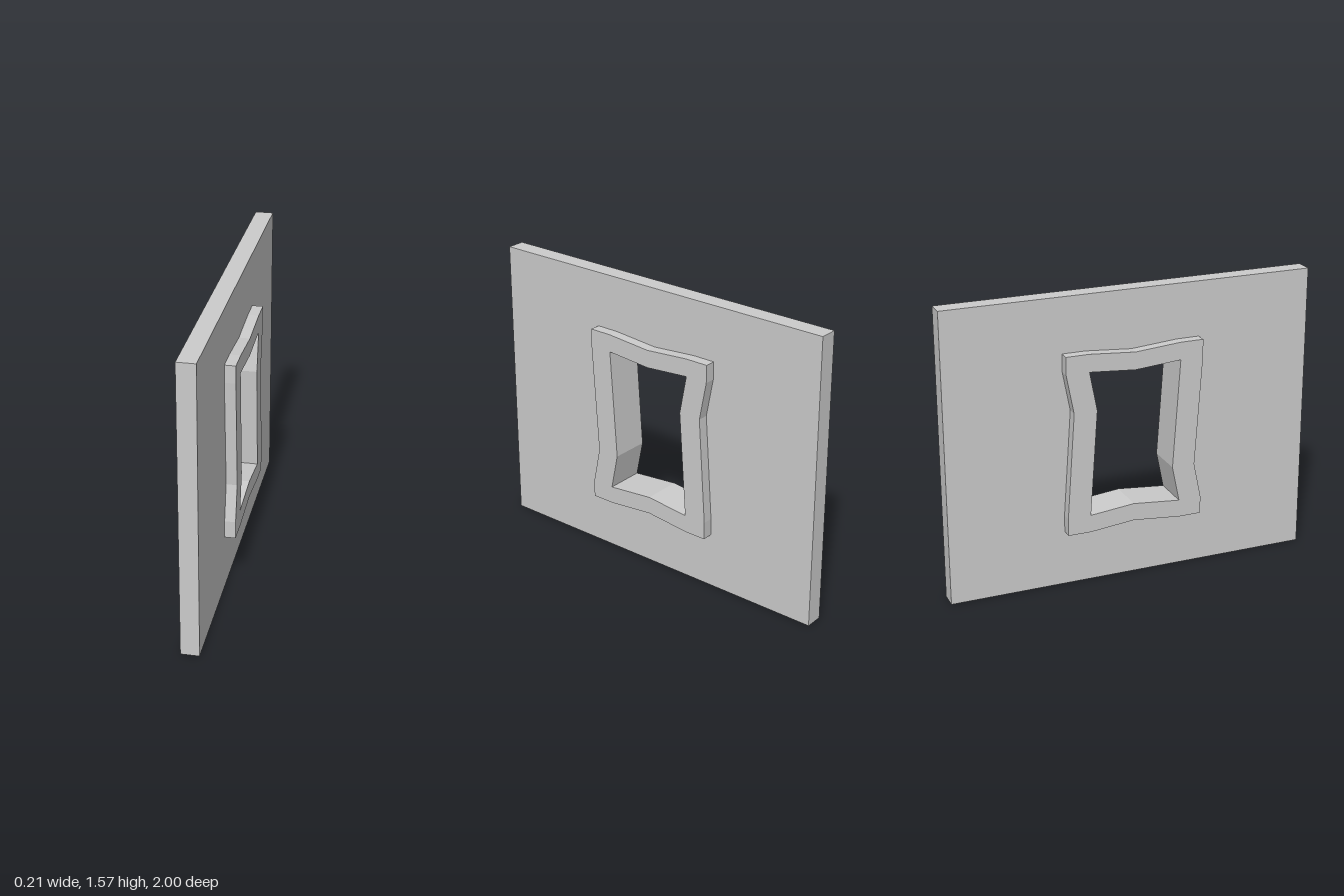
import * as THREE from 'three';

const PANEL_THICKNESS = 0.096;
const FRAME_THICKNESS = 0.21;

// Outlines as [z, y] corners
const wallOutline = [[-1, 0], [1, 0], [1, 1.57], [-1, 1.57]];
const frameOutline = [
  [0.375, 1.275], [0.25, 1.275], [0, 1.255], [-0.25, 1.275], [-0.375, 1.275],
  [-0.375, 1.18], [-0.335, 0.97], [-0.375, 0.395], [-0.375, 0.3],
  [-0.25, 0.3], [-0.01, 0.325], [0.25, 0.3], [0.375, 0.3],
  [0.375, 0.395], [0.335, 0.59], [0.375, 1.18],
];
const openingOutline = [
  [0.25, 1.18], [0, 1.16], [-0.25, 1.18], [-0.21, 0.97],
  [-0.25, 0.395], [-0.01, 0.42], [0.25, 0.395], [0.21, 0.59],
];

const toPoints = (outline) => outline.map(([z, y]) => new THREE.Vector2(z, y));

// Slab with a hole, centred on x = 0 and lying in the z-y plane
function slab(name, outline, hole, thickness, material) {
  const shape = new THREE.Shape(toPoints(outline));
  shape.holes.push(new THREE.Path(toPoints(hole)));
  const geometry = new THREE.ExtrudeGeometry(shape, { depth: thickness, bevelEnabled: false });
  geometry.translate(0, 0, -thickness / 2);
  geometry.rotateY(-Math.PI / 2);
  const mesh = new THREE.Mesh(geometry, material);
  mesh.name = name;
  return mesh;
}

export function createModel() {
  const material = new THREE.MeshStandardMaterial({ color: 0xcccccc, flatShading: true });
  const model = new THREE.Group();
  model.name = 'wallWithWindow';
  // Wall panel, cut out where the frame sits
  model.add(slab('wall', wallOutline, frameOutline, PANEL_THICKNESS, material));
  // Crooked window frame, standing proud on both sides
  model.add(slab('windowFrame', frameOutline, openingOutline, FRAME_THICKNESS, material));
  return model;
}
